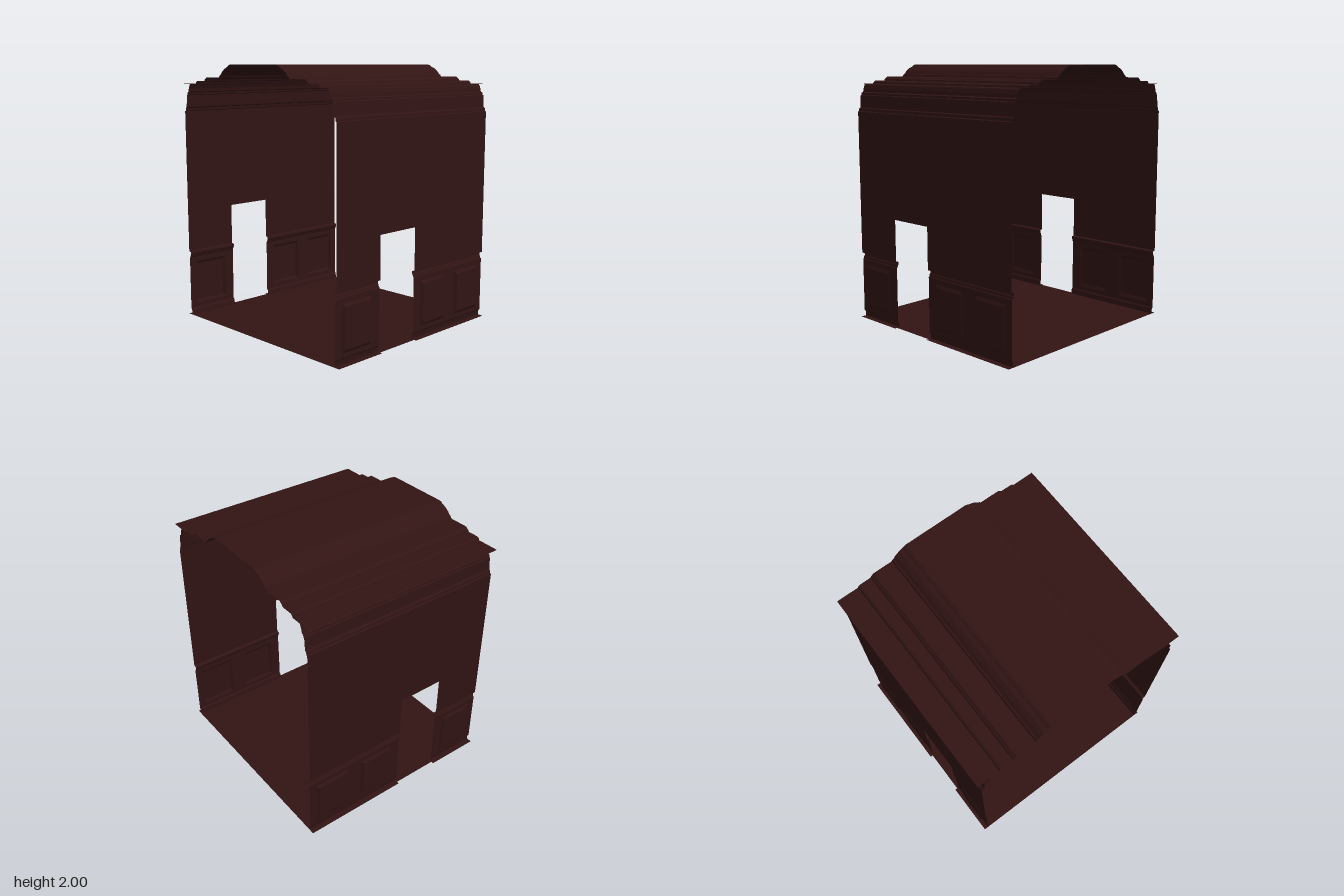
import * as THREE from 'three';

const material = new THREE.MeshStandardMaterial({ color: 0x321414, side: THREE.DoubleSide });
const BACK = -0.82, FRONT = 0.82;
const DOOR_BACK = 0.02, DOOR_FRONT = 0.39, DOOR_TOP = 0.845;
const FIELD = 0.828, RECESS = 0.84;
const PANEL_LOW = 0.085, PANEL_HIGH = 0.43, BEVEL = 0.022;

function addMesh(parent, name, geometry) {
  const mesh = new THREE.Mesh(geometry, material);
  mesh.name = name;
  parent.add(mesh);
}

// Flat-shaded surface from a list of four-cornered faces
function quads(faces) {
  const points = [];
  for (const [a, b, c, d] of faces) points.push(...a, ...b, ...c, ...a, ...c, ...d);
  const geometry = new THREE.BufferGeometry();
  geometry.setAttribute('position', new THREE.Float32BufferAttribute(points, 3));
  geometry.computeVertexNormals();
  return geometry;
}

// Sweep an open x-y profile along z
function ribbon(profile, z0, z1) {
  const faces = [];
  for (let i = 0; i + 1 < profile.length; i++) {
    const p = profile[i], q = profile[i + 1];
    faces.push([[...p, z0], [...p, z1], [...q, z1], [...q, z0]]);
  }
  return quads(faces);
}

// Corners of an upright rectangle at a given x
function rectangle(x, y0, y1, z0, z1) {
  return [[x, y0, z0], [x, y0, z1], [x, y1, z1], [x, y1, z0]];
}

// Recessed panel with bevelled edges
function panel(z0, z1) {
  const outer = rectangle(FIELD, PANEL_LOW, PANEL_HIGH, z0, z1);
  const inner = rectangle(RECESS, PANEL_LOW + BEVEL, PANEL_HIGH - BEVEL, z0 + BEVEL, z1 - BEVEL);
  const faces = [inner];
  for (let i = 0; i < 4; i++) {
    const j = (i + 1) % 4;
    faces.push([outer[i], outer[j], inner[j], inner[i]]);
  }
  return quads(faces);
}

// Wainscot board with openings for its panels
function field(z0, z1, panels) {
  const box = (path, a, b, c, d) => path.moveTo(a, c).lineTo(b, c).lineTo(b, d).lineTo(a, d).closePath();
  const shape = box(new THREE.Shape(), z0, z1, 0.05, 0.47);
  for (const [a, b] of panels) shape.holes.push(box(new THREE.Path(), a, b, PANEL_LOW, PANEL_HIGH));
  return new THREE.ShapeGeometry(shape).rotateY(-Math.PI / 2).translate(FIELD, 0, 0);
}

const skirting = [[0.86, 0], [0.815, 0], [0.815, 0.012], [0.819, 0.04], [FIELD, 0.05]];
const chairRail = [[FIELD, 0.47], [0.822, 0.475], [0.818, 0.49], [0.812, 0.498], [0.812, 0.516], [0.835, 0.523]];
const cornice = [
  [0.835, 1.64], [0.826, 1.645], [0.824, 1.665], [0.814, 1.672], [0.812, 1.682],
  [0.806, 1.765], [0.798, 1.77], [0.796, 1.785], [0.782, 1.792], [0.778, 1.815], [0.768, 1.84], [0.76, 1.853],
];
const halfCeiling = [
  [0.86, 1.853], [0.685, 1.853], [0.68, 1.866], [0.665, 1.875], [0.575, 1.875], [0.57, 1.887],
  [0.56, 1.893], [0.545, 1.905], [0.39, 1.905], [0.382, 1.92], [0.37, 1.925], [0.35, 1.948],
  [0.32, 1.97], [0.285, 1.985], [0.275, 1.994], [0.255, 2],
];

function buildWall() {
  const wall = new THREE.Group();
  const sections = [
    { z0: BACK, z1: DOOR_BACK, panels: [[-0.76, -0.47], [-0.35, -0.06]] },
    { z0: DOOR_FRONT, z1: FRONT, panels: [[0.47, 0.76]] },
  ];
  // Parts on either side of the doorway
  for (const { z0, z1, panels } of sections) {
    addMesh(wall, 'skirting', ribbon(skirting, z0, z1));
    addMesh(wall, 'wainscot', field(z0, z1, panels));
    for (const [a, b] of panels) addMesh(wall, 'recessedPanel', panel(a, b));
    addMesh(wall, 'chairRail', ribbon(chairRail, z0, z1));
    addMesh(wall, 'wallBesideDoor', ribbon([[0.835, 0.523], [0.835, DOOR_TOP]], z0, z1));
  }
  // Parts running the full length above the doorway
  addMesh(wall, 'upperWall', ribbon([[0.835, DOOR_TOP], [0.835, 1.64]], BACK, FRONT));
  addMesh(wall, 'cornice', ribbon(cornice, BACK, FRONT));
  return wall;
}

export function createModel() {
  const model = new THREE.Group();
  model.name = 'hallway';

  addMesh(model, 'floor', ribbon([[-0.84, 0], [0.84, 0]], BACK, FRONT));

  // Stepped ceiling, mirrored about the middle
  const mirrored = halfCeiling.map(([x, y]) => [-x, y]).reverse();
  addMesh(model, 'ceiling', ribbon([...halfCeiling, ...mirrored], BACK, FRONT));

  for (const side of [1, -1]) {
    const wall = buildWall();
    wall.name = side > 0 ? 'leftWall' : 'rightWall';
    wall.scale.x = side;
    model.add(wall);
  }
  return model;
}
